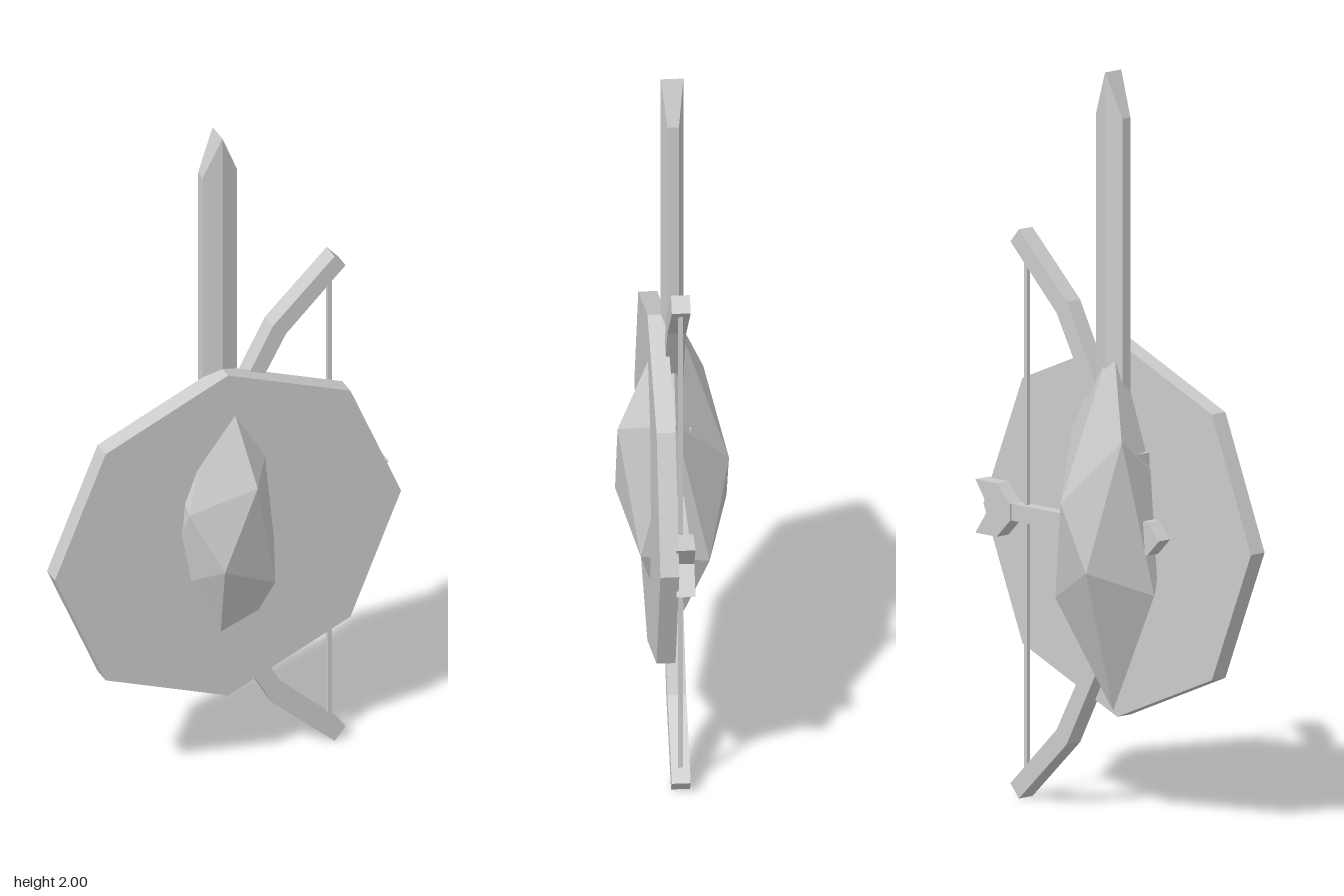
import * as THREE from 'three';

const MID = 0.767; // height of the shield, arrow and bow centre line

export function createModel() {
  const root = new THREE.Group();
  const mat = new THREE.MeshStandardMaterial({ color: 0xcccccc, flatShading: true });

  const add = (name, geometry, x = 0, y = 0, z = 0) => {
    const mesh = new THREE.Mesh(geometry, mat);
    mesh.name = name;
    mesh.position.set(x, y, z);
    root.add(mesh);
    return mesh;
  };
  // flat outline given a thickness centred on z = 0
  const plate = (points, depth) => {
    const shape = new THREE.Shape(points.map(([x, y]) => new THREE.Vector2(x, y)));
    return new THREE.ExtrudeGeometry(shape, { depth, bevelEnabled: false }).translate(0, 0, -depth / 2);
  };
  // closes an outline by mirroring its upper half below y = 0
  const mirrorY = (half) => [...half, ...half.filter(([, y]) => y !== 0).reverse().map(([x, y]) => [x, -y])];

  // octagonal shield
  const shield = add('shield', new THREE.CylinderGeometry(0.505, 0.505, 0.05, 8), 0, MID, 0.04);
  shield.rotation.x = Math.PI / 2;

  // faceted stone: two staggered rings of five between two poles
  const R = 0.155;
  const ring = (start, heights) => heights.map((y, i) => {
    const a = THREE.MathUtils.degToRad(start + 72 * i);
    return [R * Math.sin(a), y, R * Math.cos(a)];
  });
  const upper = ring(18, [0.95, 1.02, 0.85, 1.03, 0.88]);
  const lower = ring(-18, [0.71, 0.6, 0.58, 0.675, 0.61]);
  const top = [0, 1.29, 0], bottom = [0, 0.28, 0];
  const tris = [];
  for (let i = 0; i < 5; i++) {
    const j = (i + 1) % 5;
    tris.push(top, upper[i], upper[j]);
    tris.push(upper[i], lower[i], lower[j]);
    tris.push(upper[i], lower[j], upper[j]);
    tris.push(bottom, lower[j], lower[i]);
  }
  const stone = new THREE.BufferGeometry();
  stone.setAttribute('position', new THREE.Float32BufferAttribute(tris.flat(), 3));
  stone.computeVertexNormals();
  add('stone', stone);

  // sword blade: six-sided section, sides cut down from a ridge at the tip
  const section = [[0.05, 0.015], [0, 0.03], [-0.05, 0.015], [-0.05, -0.015], [0, -0.03], [0.05, -0.015]];
  const base = section.map(([x, z]) => [x, 0.95, z]);
  const tip = section.map(([x, z]) => [x, x === 0 ? 2 : 1.88, z]);
  const faces = [];
  for (let i = 0; i < 6; i++) {
    const j = (i + 1) % 6;
    faces.push(base[j], base[i], tip[i], base[j], tip[i], tip[j]);
  }
  for (const [a, b] of [[0, 5], [3, 2]]) {
    const ridge = a === 0 ? [4, 1] : [1, 4];
    faces.push(tip[a], tip[b], tip[ridge[0]], tip[a], tip[ridge[0]], tip[ridge[1]]);
  }
  for (let i = 1; i < 5; i++) faces.push(base[0], base[i], base[i + 1]);
  const blade = new THREE.BufferGeometry();
  blade.setAttribute('position', new THREE.Float32BufferAttribute(faces.flat(), 3));
  blade.computeVertexNormals();
  add('swordBlade', blade);
  add('swordGuard', new THREE.BoxGeometry(0.245, 0.05, 0.07), 0, 0.965, -0.008);
  add('swordGrip', new THREE.BoxGeometry(0.04, 0.3, 0.04), 0, 0.8, 0);

  // bow stave: outer edge up to the tip, inner edge back, then mirrored
  const outer = [[0.02, 0.353], [0.15, 0.595], [0.33, 0.765]];
  const inner = [[0.362, 0.728], [0.188, 0.56], [0.068, 0.345]];
  const flip = ([x, y]) => [x, -y];
  const bow = [...outer, ...inner, ...inner.map(flip).reverse(), ...outer.map(flip).reverse()];
  add('bowStave', plate(bow, 0.05), 0, MID, 0);
  add('bowString', new THREE.BoxGeometry(0.012, 1.4, 0.012), 0.325, MID, 0);

  // arrow: shaft, pointed head at -x and forked tail at +x
  add('arrowShaft', new THREE.BoxGeometry(0.54, 0.045, 0.045), 0.11, MID, 0);
  const head = mirrorY([[-0.2, 0], [-0.155, 0.045], [-0.1, 0.045]]);
  add('arrowHead', plate(head, 0.045), 0, MID, -0.004);
  const tail = mirrorY([[0.44, 0], [0.49, 0.072], [0.41, 0.072], [0.36, 0.0225]]);
  add('arrowTail', plate(tail, 0.05), 0, MID, -0.004);

  return root;
}
